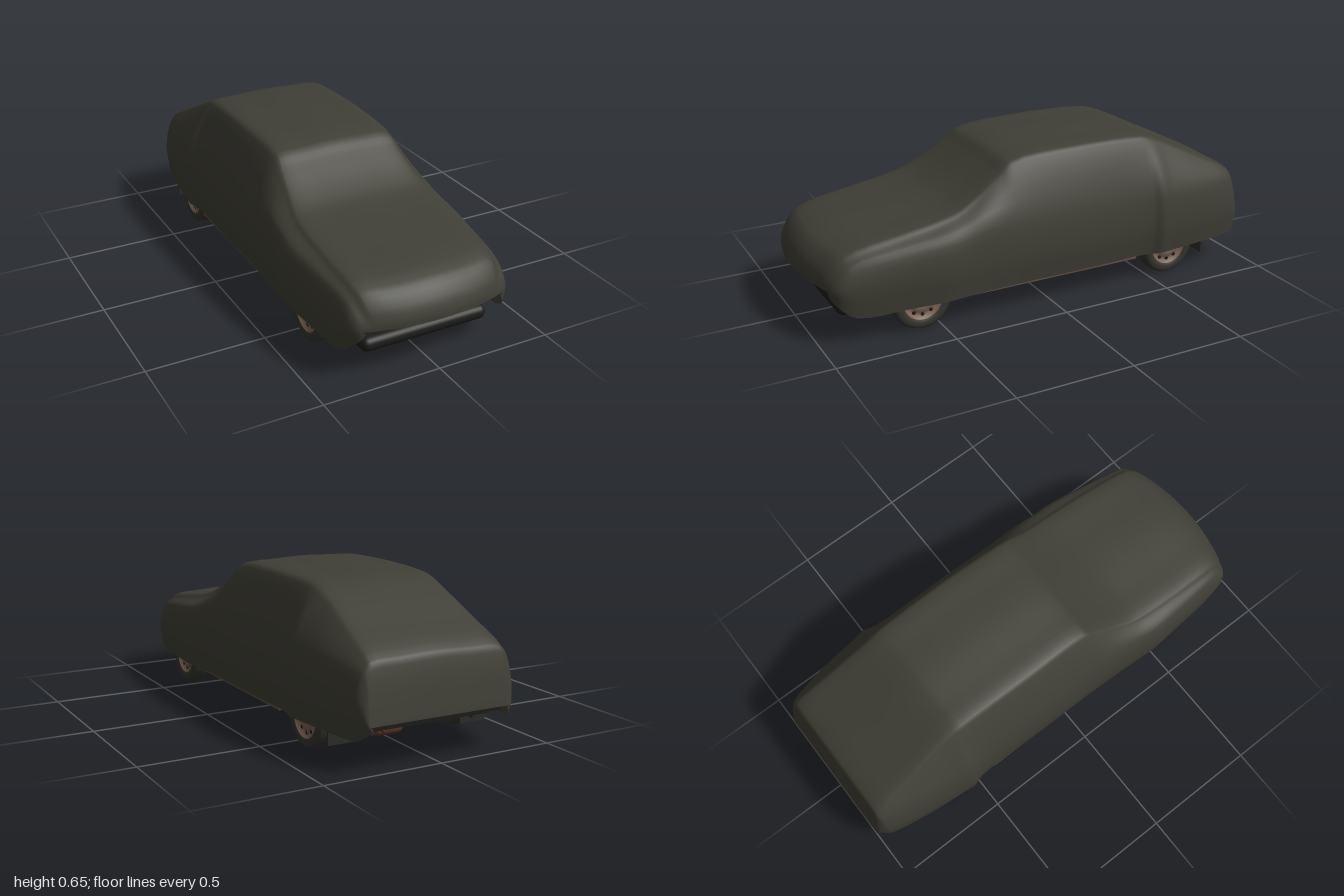
import * as THREE from 'three';
import { RoundedBoxGeometry } from 'three/addons/geometries/RoundedBoxGeometry.js';

const mat = (name, color, side = THREE.FrontSide) => {
  const m = new THREE.MeshStandardMaterial({ color, side });
  m.name = name;
  return m;
};

// Cover stations, nose to tail: z, top y, top half width, shoulder y, widest half, hem y
const STATIONS = [
  [1.0, 0.222, 0.27, 0.22, 0.31, 0.215],
  [0.998, 0.25, 0.28, 0.235, 0.325, 0.19],
  [0.975, 0.305, 0.30, 0.27, 0.35, 0.155],
  [0.91, 0.366, 0.315, 0.315, 0.366, 0.11],
  [0.65, 0.413, 0.325, 0.35, 0.39, 0.11],
  [0.48, 0.44, 0.325, 0.37, 0.403, 0.112],
  [0.39, 0.464, 0.32, 0.385, 0.399, 0.113],
  [0.30, 0.51, 0.305, 0.41, 0.395, 0.115],
  [0.20, 0.578, 0.29, 0.42, 0.392, 0.115],
  [0.135, 0.624, 0.28, 0.42, 0.39, 0.115],
  [-0.15, 0.645, 0.283, 0.42, 0.39, 0.115],
  [-0.49, 0.636, 0.28, 0.42, 0.39, 0.116],
  [-0.54, 0.624, 0.28, 0.42, 0.405, 0.116],
  [-0.60, 0.60, 0.28, 0.41, 0.40, 0.117],
  [-0.78, 0.511, 0.295, 0.39, 0.382, 0.118],
  [-0.95, 0.422, 0.308, 0.36, 0.35, 0.12],
  [-0.968, 0.39, 0.307, 0.34, 0.34, 0.13],
  [-0.998, 0.20, 0.30, 0.19, 0.315, 0.16],
  [-1.0, 0.18, 0.29, 0.178, 0.308, 0.174],
];

// One full cross-section, hem to hem over the top; the nose is bowed in plan
function section([z, yt, r, ys, m, yl], cols) {
  const drop = Math.min(1, (yt - yl) / 0.2);
  const widestY = Math.min(0.25, yl + 0.6 * (ys - yl));
  const half = [[r * 0.5, yt - 0.005 * drop], [r - 0.025, yt - 0.012 * drop],
    [r, yt - 0.032 * drop], [m - 0.024 * drop, ys], [m, widestY], [m - 0.012, yl]];
  const pts = [...half.map(([x, y]) => [-x, y]).reverse(), [0, yt], ...half];
  const bow = Math.max(0, (z - 0.6) / 0.4);
  const v = pts.map(([x, y]) => new THREE.Vector3(x, y, z - 0.06 * bow * (x / 0.33) ** 2));
  return new THREE.CatmullRomCurve3(v, false, 'centripetal').getPoints(cols);
}

function coverGeometry() {
  const cols = 48, rows = (STATIONS.length - 1) * 4;
  const sections = STATIONS.map((st) => section(st, cols));
  const lines = [];
  for (let j = 0; j <= cols; j++) {
    const c = new THREE.CatmullRomCurve3(sections.map((s) => s[j]), false, 'centripetal');
    lines.push(c.getPoints(rows));
  }
  const pos = [], idx = [];
  for (let i = 0; i <= rows; i++) {
    for (let j = 0; j <= cols; j++) pos.push(...lines[j][i].toArray());
  }
  for (let i = 0; i < rows; i++) {
    for (let j = 0; j < cols; j++) {
      const a = i * (cols + 1) + j, b = a + cols + 1;
      idx.push(a, a + 1, b, a + 1, b + 1, b);
    }
  }
  const g = new THREE.BufferGeometry();
  g.setAttribute('position', new THREE.Float32BufferAttribute(pos, 3));
  g.setIndex(idx);
  g.computeVertexNormals();
  return g;
}

export function createModel() {
  const cloth = mat('coverCloth', 0x403f36, THREE.DoubleSide);
  const rubber = mat('tyreRubber', 0x35342e);
  const rimMetal = mat('rimMetal', 0x7a6353);
  const under = mat('underbodyDark', 0x1c1d1a);
  const chassis = mat('chassisGrey', 0x2d2e2a);
  const rust = mat('exhaustRust', 0x5c3527);
  const patch = mat('floorRedBrown', 0x3a211b);
  const sillTan = mat('sillTan', 0x65503f);

  const model = new THREE.Group();
  const add = (name, geo, material, x = 0, y = 0, z = 0, parent = model) => {
    const mesh = new THREE.Mesh(geo, material);
    mesh.name = name;
    mesh.position.set(x, y, z);
    parent.add(mesh);
  };
  const box = (name, w, h, d, material, x, y, z) =>
    add(name, new THREE.BoxGeometry(w, h, d), material, x, y, z);
  const tube = (name, pts, radius, material) => add(name, new THREE.TubeGeometry(
    new THREE.CatmullRomCurve3(pts.map((p) => new THREE.Vector3(...p)), false, 'catmullrom', 0.15),
    32, radius, 8), material);

  // Cloth cover and front lip
  add('cover', coverGeometry(), cloth);
  add('frontValance', new RoundedBoxGeometry(0.56, 0.06, 0.13, 3, 0.028), under, 0, 0.116, 0.84);

  // Floor, sills and wheel well ceiling
  box('wheelWellCeiling', 0.72, 0.01, 1.6, under, 0, 0.265, -0.05);
  box('floorPan', 0.54, 0.03, 1.74, under, 0, 0.15, -0.05);
  box('cabinFloor', 0.72, 0.03, 0.82, under, 0, 0.145, -0.01);
  box('bootFloor', 0.64, 0.03, 0.17, under, 0, 0.16, -0.85);
  for (const s of [-1, 1]) {
    box('sill', 0.025, 0.03, 0.82, sillTan, s * 0.362, 0.122, -0.01);
    box('frontRail', 0.04, 0.03, 0.7, chassis, s * 0.2, 0.122, 0.38);
    box('rearRail', 0.035, 0.025, 0.6, chassis, s * 0.23, 0.128, -0.6);
    box('floorPatch', 0.12, 0.006, 0.2, patch, s * 0.28, 0.129, 0.17);
    box('rearFloorPatch', 0.13, 0.006, 0.16, patch, s * 0.2, 0.134, -0.36);
    box('frontMudFlap', 0.06, 0.075, 0.008, chassis, s * 0.27, 0.098, 0.42);
    box('rearMudFlap', 0.12, 0.09, 0.008, chassis, s * 0.3, 0.105, -0.78);
    tube('controlArm', [[s * 0.1, 0.13, 0.5], [s * 0.3, 0.12, 0.58], [s * 0.1, 0.13, 0.66]], 0.01, chassis);
    tube('trailingArm', [[s * 0.22, 0.13, -0.3], [s * 0.24, 0.115, -0.6]], 0.012, chassis);
  }

  // Running gear
  box('engineSump', 0.18, 0.05, 0.24, chassis, -0.04, 0.125, 0.66);
  box('crossMember', 0.5, 0.025, 0.05, chassis, 0, 0.122, 0.48);
  box('gearboxTunnel', 0.12, 0.03, 0.36, chassis, 0.06, 0.13, 0.28);
  tube('rearAxle', [[-0.31, 0.125, -0.6], [0.31, 0.125, -0.6]], 0.018, chassis);
  tube('steeringRod', [[-0.3, 0.135, 0.54], [0.3, 0.135, 0.54]], 0.007, chassis);

  // Exhaust
  tube('exhaustPipe', [[0.05, 0.13, 0.7], [0.13, 0.115, 0.64], [0.05, 0.114, 0.3], [0, 0.114, 0.09],
    [-0.02, 0.114, -0.22], [0.14, 0.114, -0.45], [0.2, 0.135, -0.65], [0.2, 0.135, -0.93]], 0.011, rust);
  add('centreMuffler', new RoundedBoxGeometry(0.09, 0.04, 0.2, 3, 0.018), rust, 0, 0.12, 0.07);
  add('rearMuffler', new RoundedBoxGeometry(0.13, 0.05, 0.22, 3, 0.023), rust, 0.17, 0.13, -0.8);

  // Wheels: rounded tyre, dished rim, holes and hub
  const V = (x, y) => new THREE.Vector2(x, y);
  const tyreGeo = new THREE.LatheGeometry([V(0.082, -0.03), V(0.092, -0.037), V(0.11, -0.037),
    V(0.12, -0.031), V(0.125, -0.02), V(0.125, 0.02), V(0.12, 0.031), V(0.11, 0.037),
    V(0.092, 0.037), V(0.082, 0.03)], 36);
  const rimGeo = new THREE.LatheGeometry([V(0, -0.015), V(0.07, -0.015), V(0.086, -0.033),
    V(0.086, 0.033), V(0.08, 0.035), V(0.072, 0.02), V(0.055, 0.022), V(0.045, 0.03),
    V(0.025, 0.03), V(0.02, 0.022), V(0, 0.022)], 36);
  const holeGeo = new THREE.CylinderGeometry(0.008, 0.008, 0.004, 10);
  const hubGeo = new THREE.CylinderGeometry(0.016, 0.019, 0.012, 16);
  for (const s of [-1, 1]) {
    for (const [z, label] of [[0.58, 'front'], [-0.6, 'rear']]) {
      const wheel = new THREE.Group();
      wheel.name = label + 'Wheel';
      wheel.position.set(s * 0.326, 0.125, z);
      wheel.rotation.z = -s * Math.PI / 2;
      model.add(wheel);
      add('tyre', tyreGeo, rubber, 0, 0, 0, wheel);
      add('rim', rimGeo, rimMetal, 0, 0, 0, wheel);
      add('hub', hubGeo, chassis, 0, 0.028, 0, wheel);
      for (let k = 0; k < 10; k++) {
        const a = k * Math.PI / 5;
        add('rimHole', holeGeo, under, Math.cos(a) * 0.063, 0.022, Math.sin(a) * 0.063, wheel);
      }
    }
  }
  return model;
}
